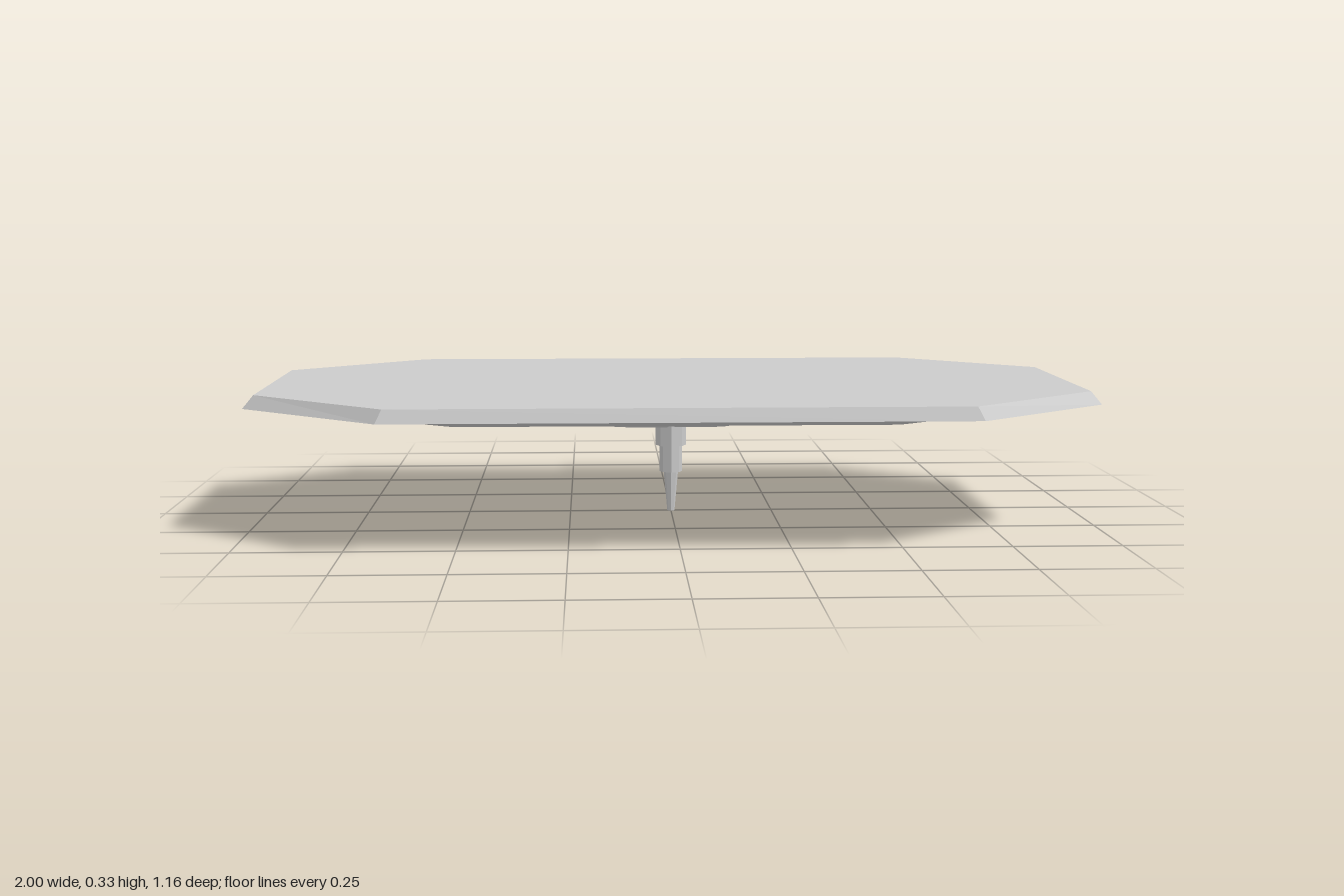
import * as THREE from 'three';

const material = new THREE.MeshStandardMaterial({ color: 0xcccccc, flatShading: true });

// Elongated octagon at height y: half width/depth, then where the chamfers start
function octagon([y, hx, hz, cx, cz]) {
  return [
    [hx, y, cz], [cx, y, hz], [-cx, y, hz], [-hx, y, cz],
    [-hx, y, -cz], [-cx, y, -hz], [cx, y, -hz], [hx, y, -cz],
  ];
}

// Closed solid through a series of octagons, listed from the top downwards
function octagonSolid(name, sections) {
  const rings = sections.map(octagon);
  const top = [0, sections[0][0], 0];
  const bottom = [0, sections[sections.length - 1][0], 0];
  const position = [];
  const tri = (...corners) => corners.forEach((c) => position.push(...c));
  for (let i = 0; i < 8; i++) {
    const j = (i + 1) % 8;
    tri(top, rings[0][j], rings[0][i]);
    for (let r = 1; r < rings.length; r++) {
      const upper = rings[r - 1], lower = rings[r];
      tri(lower[i], upper[i], upper[j]);
      tri(lower[i], upper[j], lower[j]);
    }
    const last = rings[rings.length - 1];
    tri(bottom, last[i], last[j]);
  }
  const geometry = new THREE.BufferGeometry();
  geometry.setAttribute('position', new THREE.Float32BufferAttribute(position, 3));
  geometry.computeVertexNormals();
  const mesh = new THREE.Mesh(geometry, material);
  mesh.name = name;
  return mesh;
}

// Eight-sided section of the central spike
function spikeSection(name, yBottom, rBottom, yTop, rTop) {
  const geometry = new THREE.CylinderGeometry(rTop, rBottom, yTop - yBottom, 8);
  const mesh = new THREE.Mesh(geometry, material);
  mesh.position.y = (yBottom + yTop) / 2;
  mesh.name = name;
  return mesh;
}

export function createModel() {
  const model = new THREE.Group();
  model.name = 'platform';

  model.add(
    // Broad plate with a bevelled edge
    octagonSolid('topPlate', [
      [0.326, 0.975, 0.566, 0.65, 0.282],
      [0.295, 1, 0.578, 0.665, 0.29],
    ]),
    // Bevelled skirt with a narrow rim around a recessed underside
    octagonSolid('underTier', [
      [0.295, 0.8, 0.412, 0.54, 0.21],
      [0.261, 0.75, 0.372, 0.51, 0.2],
      [0.261, 0.73, 0.355, 0.495, 0.19],
      [0.282, 0.73, 0.355, 0.495, 0.19],
    ]),
    // Flared flange rising into the recess
    octagonSolid('hubFlange', [
      [0.284, 0.27, 0.14, 0.125, 0.065],
      [0.261, 0.238, 0.105, 0.12, 0.058],
      [0.245, 0.215, 0.09, 0.115, 0.048],
    ]),
    // Hub that carries the spike
    octagonSolid('hubBase', [
      [0.246, 0.175, 0.06, 0.115, 0.03],
      [0.213, 0.142, 0.034, 0.1, 0.018],
    ]),
  );

  // Central spike hanging from the hub
  const spike = new THREE.Group();
  spike.name = 'spike';
  spike.add(
    spikeSection('spikeCollar', 0.165, 0.038, 0.215, 0.038),
    spikeSection('spikeShaft', 0.099, 0.028, 0.166, 0.028),
    spikeSection('spikeTip', 0, 0.009, 0.1, 0.018),
  );
  model.add(spike);
  return model;
}
